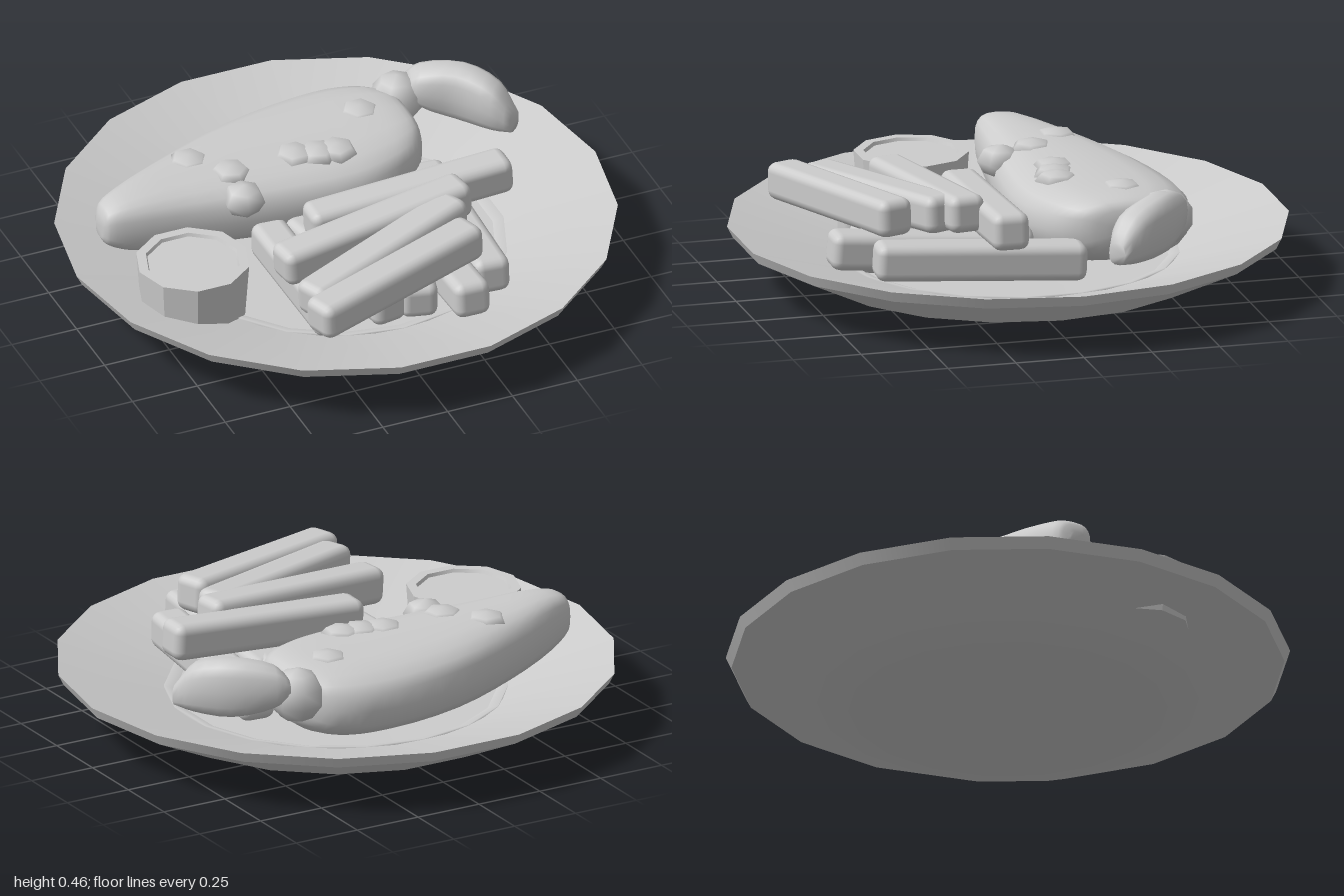
import * as THREE from 'three';
import { RoundedBoxGeometry } from 'three/addons/geometries/RoundedBoxGeometry.js';

const grey = new THREE.MeshStandardMaterial({ color: 0xcccccc });
grey.name = 'plain grey';

const V = (p) => new THREE.Vector3(...p);

function add(parent, name, geometry) {
  const mesh = new THREE.Mesh(geometry, grey);
  mesh.name = name;
  parent.add(mesh);
  return mesh;
}

// Rounded loft between a low edge line and a high edge line (opposite corners of each section)
function loft(low, high, steps, sides, power) {
  const lowCurve = new THREE.CatmullRomCurve3(low.map(V));
  const highCurve = new THREE.CatmullRomCurve3(high.map(V));
  const bend = (v) => Math.sign(v) * Math.pow(Math.abs(v), power);
  const pos = [], index = [];
  for (let i = 0; i <= steps; i++) {
    const a = lowCurve.getPoint(i / steps), b = highCurve.getPoint(i / steps);
    const c = a.clone().add(b).multiplyScalar(0.5);
    for (let j = 0; j < sides; j++) {
      const t = (j / sides) * Math.PI * 2;
      const u = bend(Math.cos(t)), v = bend(Math.sin(t));
      pos.push(c.x + (u * (a.x - b.x)) / 2, c.y + (v * (b.y - a.y)) / 2, c.z + (u * (a.z - b.z)) / 2);
    }
  }
  for (let i = 0; i < steps; i++) {
    for (let j = 0; j < sides; j++) {
      const k = (j + 1) % sides, r = i * sides, s = r + sides;
      index.push(r + j, r + k, s + j, r + k, s + k, s + j);
    }
  }
  // End caps as fans
  const last = steps * sides;
  for (let j = 1; j < sides - 1; j++) {
    index.push(0, j + 1, j, last, last + j, last + j + 1);
  }
  const g = new THREE.BufferGeometry();
  g.setAttribute('position', new THREE.Float32BufferAttribute(pos, 3));
  g.setIndex(index);
  g.computeVertexNormals();
  return g;
}

function lathe(points, sides) {
  return new THREE.LatheGeometry(points.map((p) => new THREE.Vector2(...p)), sides);
}

// Chip stretched between two end points
function fry(parent, name, from, to) {
  const a = V(from), b = V(to);
  const mesh = add(parent, name, new RoundedBoxGeometry(0.135, 0.135, a.distanceTo(b), 2, 0.035));
  mesh.position.copy(a).add(b).multiplyScalar(0.5);
  mesh.lookAt(b);
}

export function createModel() {
  const model = new THREE.Group();
  model.name = 'plateOfFood';

  // Plate: separate lathes keep the rim edges sharp
  const plate = new THREE.Group();
  plate.name = 'plate';
  plate.rotation.y = Math.PI / 18;
  model.add(plate);
  add(plate, 'plateUnderside', lathe([[0, 0], [0.53, 0], [0.7, 0.05], [0.98, 0.185]], 18));
  add(plate, 'plateRim', lathe([[0.98, 0.185], [1, 0.225]], 18));
  add(plate, 'plateSlope', lathe([[1, 0.225], [0.57, 0.1]], 18));
  add(model, 'plateWell', lathe([[0.61, 0.105], [0.61, 0.118], [0.57, 0.105]], 18));
  add(model, 'plateFloor', lathe([[0.59, 0.105], [0, 0.095]], 18));

  // Main fillet, tapering to the left and rounded at the right
  const edges = [
    // x, back z, front z, bottom, top
    [-0.84, -0.2, -0.14, 0.25, 0.32],
    [-0.82, -0.24, -0.11, 0.22, 0.365],
    [-0.74, -0.29, -0.085, 0.18, 0.39],
    [-0.5, -0.42, -0.055, 0.14, 0.395],
    [-0.2, -0.55, -0.015, 0.12, 0.395],
    [0.1, -0.61, 0, 0.12, 0.395],
    [0.25, -0.6, -0.04, 0.13, 0.395],
    [0.35, -0.55, -0.1, 0.15, 0.39],
    [0.41, -0.46, -0.18, 0.19, 0.37],
    [0.43, -0.37, -0.27, 0.25, 0.31],
  ];
  add(model, 'fillet', loft(
    edges.map(([x, back, , bottom]) => [x, bottom, back]),
    edges.map(([x, , front, , top]) => [x, top, front]), 27, 20, 0.72));

  // Joint and curved tail piece
  const joint = add(model, 'joint', new THREE.SphereGeometry(0.1, 7, 5));
  joint.position.set(0.43, 0.32, -0.46);
  add(model, 'tailPiece', loft(
    [[0.49, 0.33, -0.52], [0.54, 0.29, -0.51], [0.68, 0.25, -0.42], [0.77, 0.25, -0.3], [0.795, 0.26, -0.21]],
    [[0.46, 0.4, -0.42], [0.49, 0.44, -0.38], [0.59, 0.465, -0.31], [0.68, 0.43, -0.2], [0.74, 0.34, -0.165]],
    12, 14, 0.75));

  // Crumbs scattered over the fillet
  const crumbs = [
    [-0.44, 0.375, -0.3], [-0.33, 0.375, -0.18], [-0.33, 0.34, -0.06], [-0.08, 0.375, -0.19],
    [0, 0.375, -0.17], [0.07, 0.375, -0.16], [0.24, 0.375, -0.35],
  ];
  crumbs.forEach((p, i) => {
    const crumb = add(model, 'crumb' + (i + 1), new THREE.SphereGeometry(0.08, 6, 4));
    crumb.scale.y = i === 2 ? 0.75 : 0.45;
    crumb.position.set(...p);
    crumb.rotation.y = i * 0.7;
  });

  // Sauce cup
  const cup = new THREE.Group();
  cup.name = 'sauceCup';
  cup.position.set(-0.63, 0, 0.18);
  cup.rotation.y = Math.PI / 10;
  model.add(cup);
  const wall = new THREE.CylinderGeometry(0.205, 0.19, 0.21, 10, 1, true).toNonIndexed();
  wall.computeVertexNormals();
  add(cup, 'cupWall', wall).position.y = 0.205;
  add(cup, 'cupRim', lathe([[0.205, 0.31], [0.17, 0.31]], 10));
  add(cup, 'cupInside', lathe([[0.17, 0.31], [0.165, 0.298]], 10));
  add(cup, 'sauce', lathe([[0.167, 0.298], [0, 0.298]], 10));

  // Chips: lower layer, then the stack on top
  const fries = [
    [[0.225, 0.235, 0.72], [0.235, 0.18, 0.04]],
    [[0.355, 0.22, 0.59], [0.41, 0.18, -0.17]],
    [[-0.24, 0.17, 0.55], [-0.25, 0.18, -0.05]],
    [[-0.02, 0.17, 0.56], [-0.13, 0.18, -0.04]],
    [[0.08, 0.17, 0.57], [0.23, 0.19, -0.03]],
    [[-0.17, 0.31, 0.14], [0.6, 0.355, 0.15]],
    [[-0.37, 0.32, 0.355], [0.39, 0.37, 0.25]],
    [[-0.37, 0.32, 0.61], [0.33, 0.36, 0.32]],
    [[-0.39, 0.325, 0.73], [0.32, 0.355, 0.49]],
  ];
  fries.forEach(([a, b], i) => fry(model, 'fry' + (i + 1), a, b));

  return model;
}
